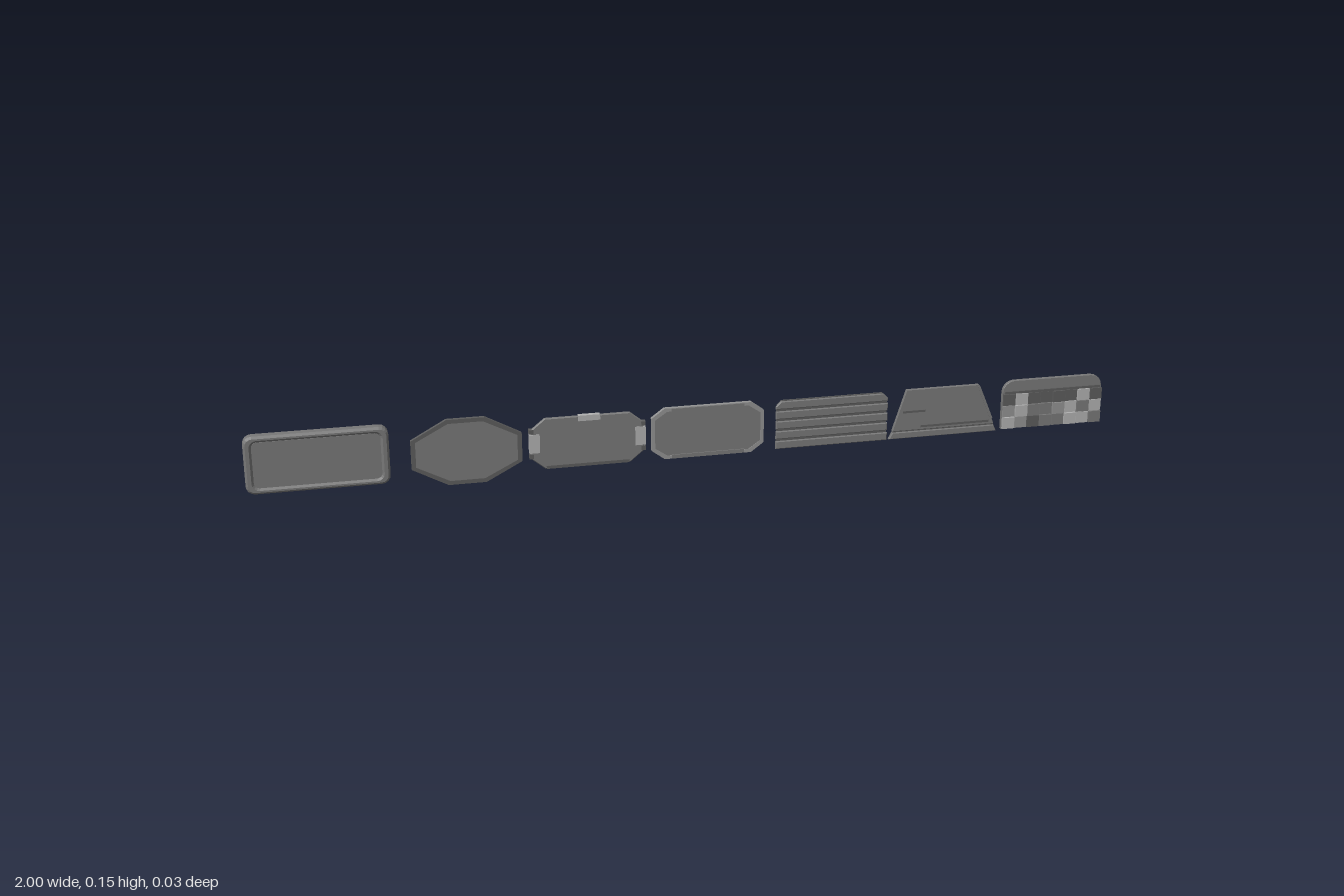
import * as THREE from 'three';

const paint = (color) => new THREE.MeshStandardMaterial({ color, flatShading: true });
const body = paint(0x777777), edge = paint(0x5c5c5c), pale = paint(0xb0b0b0), mid = paint(0x929292);

function add(group, name, geometry, material, x = 0, y = 0, z = 0) {
  const mesh = new THREE.Mesh(geometry, material);
  mesh.name = name;
  mesh.position.set(x, y, z);
  group.add(mesh);
  return mesh;
}

const box = (group, name, w, h, d, x, y, z, material) =>
  add(group, name, new THREE.BoxGeometry(w, h, d), material, x, y, z);

// Outline corners scaled about a centre
const inset = (pts, cx, cy, sx, sy) => pts.map(([x, y]) => [cx + (x - cx) * sx, cy + (y - cy) * sy]);

// Rectangle whose corners are cut by c at the bottom and t at the top
function cutRect(x0, x1, y0, y1, cx, cy, tx = cx, ty = cy) {
  const pts = [[x0 + cx, y0], [x1 - cx, y0], [x1, y0 + cy], [x1, y1 - ty],
    [x1 - tx, y1], [x0 + tx, y1], [x0, y1 - ty], [x0, y0 + cy]];
  return pts.filter((p, i) => {
    const q = pts[(i + 1) % pts.length];
    return Math.hypot(p[0] - q[0], p[1] - q[1]) > 1e-6;
  });
}

// Rectangle with round corners, bottom radius rb and top radius rt
function roundRect(x0, x1, y0, y1, rb, rt) {
  const pts = [];
  const corners = [[x0, y0, rb, 1, 1, Math.PI], [x1, y0, rb, -1, 1, Math.PI * 1.5],
    [x1, y1, rt, -1, -1, 0], [x0, y1, rt, 1, -1, Math.PI / 2]];
  for (const [x, y, r, sx, sy, start] of corners) {
    const steps = r > 0 ? 4 : 0;
    for (let i = 0; i <= steps; i++) {
      const a = start + (steps ? (i / steps) * Math.PI / 2 : 0);
      pts.push([x + sx * r + r * Math.cos(a), y + sy * r + r * Math.sin(a)]);
    }
  }
  return pts;
}

// Flat plate centred on z = 0, optionally with a hole and a bevel that stays inside the outline
function plate(pts, depth, hole, bevel = 0) {
  const vectors = (list) => list.map(([x, y]) => new THREE.Vector2(x, y));
  const shape = new THREE.Shape(vectors(pts));
  if (hole) shape.holes.push(new THREE.Path(vectors(hole)));
  const geometry = new THREE.ExtrudeGeometry(shape, {
    depth: depth - 2 * bevel, bevelEnabled: bevel > 0, bevelThickness: bevel,
    bevelSize: bevel, bevelOffset: -bevel, bevelSegments: 1,
  });
  return geometry.translate(0, 0, -depth / 2 + bevel);
}

function panel(root, name) {
  const group = new THREE.Group();
  group.name = name;
  root.add(group);
  return group;
}

export function createModel() {
  const root = new THREE.Group();
  root.name = 'shieldPanels';

  // Thick rounded panel with a raised rim
  const thick = panel(root, 'thickPanel');
  const outer = roundRect(-1, -0.687, 0.02, 0.154, 0.02, 0.02);
  const inner = roundRect(-0.982, -0.705, 0.034, 0.14, 0.012, 0.012);
  add(thick, 'thickRim', plate(outer, 0.027, inner, 0.005), body);
  add(thick, 'thickFace', plate(inner, 0.02), body);
  box(thick, 'thickSideGrip', 0.006, 0.06, 0.018, -0.996, 0.097, 0, edge);

  // Thin eight-sided panel
  const eight = panel(root, 'eightSidedPanel');
  const octagon = [[-0.56, 0.002], [-0.475, 0.002], [-0.393, 0.045], [-0.393, 0.112],
    [-0.475, 0.156], [-0.56, 0.156], [-0.64, 0.112], [-0.64, 0.045]];
  const octagonHole = inset(octagon, -0.517, 0.079, 0.92, 0.88);
  add(eight, 'eightSidedRim', plate(octagon, 0.009, octagonHole), edge);
  add(eight, 'eightSidedFace', plate(octagonHole, 0.005), body);

  // Cut-corner panel with pale pads
  const padded = panel(root, 'paddedPanel');
  add(padded, 'paddedPlate', plate(cutRect(-0.373, -0.115, 0.021, 0.141, 0.032, 0.026), 0.009, null, 0.002), body);
  for (const s of [-1, 1]) {
    box(padded, 'sidePad', 0.024, 0.044, 0.012, -0.244 + s * 0.121, 0.083, 0, pale);
    box(padded, 'sideClip', 0.01, 0.01, 0.012, -0.244 + s * 0.128, 0.112, 0, edge);
    box(padded, 'sideClip', 0.01, 0.01, 0.012, -0.244 + s * 0.128, 0.053, 0, edge);
  }
  box(padded, 'topPad', 0.05, 0.013, 0.012, -0.24, 0.136, 0, pale);
  box(padded, 'bottomStrip', 0.19, 0.007, 0.012, -0.244, 0.025, 0, edge);

  // Cut-corner panel with edge bars
  const barred = panel(root, 'barredPanel');
  const barredOutline = cutRect(-0.097, 0.166, 0.021, 0.143, 0.03, 0.022);
  const barredHole = inset(barredOutline, 0.0345, 0.082, 0.94, 0.87);
  add(barred, 'barredRim', plate(barredOutline, 0.01, barredHole), mid);
  add(barred, 'barredFace', plate(barredHole, 0.007), body);
  for (const y of [0.026, 0.137]) box(barred, 'edgeBar', 0.17, 0.009, 0.013, 0.0345, y, 0, body);

  // Slatted panel, staggered bricks behind
  const slatted = panel(root, 'slattedPanel');
  add(slatted, 'slattedCore', plate(cutRect(0.197, 0.463, 0.022, 0.14, 0, 0, 0.012, 0.012), 0.004), edge);
  for (let i = 0; i < 5; i++) {
    const y = 0.032 + i * 0.0242;
    const cut = i === 4 ? 0.012 : 0;
    const slat = cutRect(0.195, 0.465, y - 0.0095, y + 0.0095, 0, 0, cut, cut);
    add(slatted, 'slat', plate(slat, 0.007, null, 0.002), body, 0, 0, 0.002);
    for (let j = 0; j < 4; j++) {
      const x = 0.235 + j * 0.061 + (i % 2) * 0.008;
      box(slatted, 'backBrick', 0.057, 0.018, 0.004, x, y, -0.003, body);
    }
  }

  // Tapered panel with a foot bar and slots
  const tapered = panel(root, 'taperedPanel');
  const slope = (x0, x1, x2, x3, y0, y1) => [[x0, y0], [x1, y0], [x2, y1], [x3, y1]];
  add(tapered, 'taperedPlate', plate(slope(0.478, 0.73, 0.688, 0.51, 0.042, 0.142), 0.009, null, 0.001), body);
  add(tapered, 'taperedFoot', plate(slope(0.47, 0.737, 0.73, 0.478, 0.023, 0.039), 0.011, null, 0.002), body);
  box(tapered, 'footCore', 0.25, 0.01, 0.005, 0.604, 0.04, 0, edge);
  box(tapered, 'upperSlot', 0.055, 0.005, 0.011, 0.53, 0.088, 0, edge);
  box(tapered, 'lowerSlot', 0.17, 0.005, 0.011, 0.632, 0.05, 0, edge);
  // Slanted rail along the right-hand slope
  box(tapered, 'slopeRail', 0.006, 0.09, 0.011, 0.706, 0.096, 0, body).rotation.z = 0.4;

  // Tiled panel with a plain back
  const tiled = panel(root, 'tiledPanel');
  add(tiled, 'tiledPlate', plate(roundRect(0.75, 1, 0.025, 0.144, 0, 0.028), 0.01, null, 0.001), body, 0, 0, -0.003);
  box(tiled, 'topBand', 0.24, 0.006, 0.005, 0.875, 0.115, 0.003, edge);
  let seed = 11;
  const next = () => (seed = (seed * 16807) % 2147483647) / 2147483647;
  for (let row = 0; row < 3; row++) {
    for (let col = 0; col < 8; col++) {
      const value = next();
      const material = value < 0.22 ? pale : value < 0.45 ? mid : value < 0.7 ? body : edge;
      const depth = 0.006 + next() * 0.005;
      box(tiled, 'tile', 0.0295, 0.0275, depth, 0.766 + col * 0.0312, 0.0405 + row * 0.029, depth / 2, material);
    }
  }
  return root;
}
